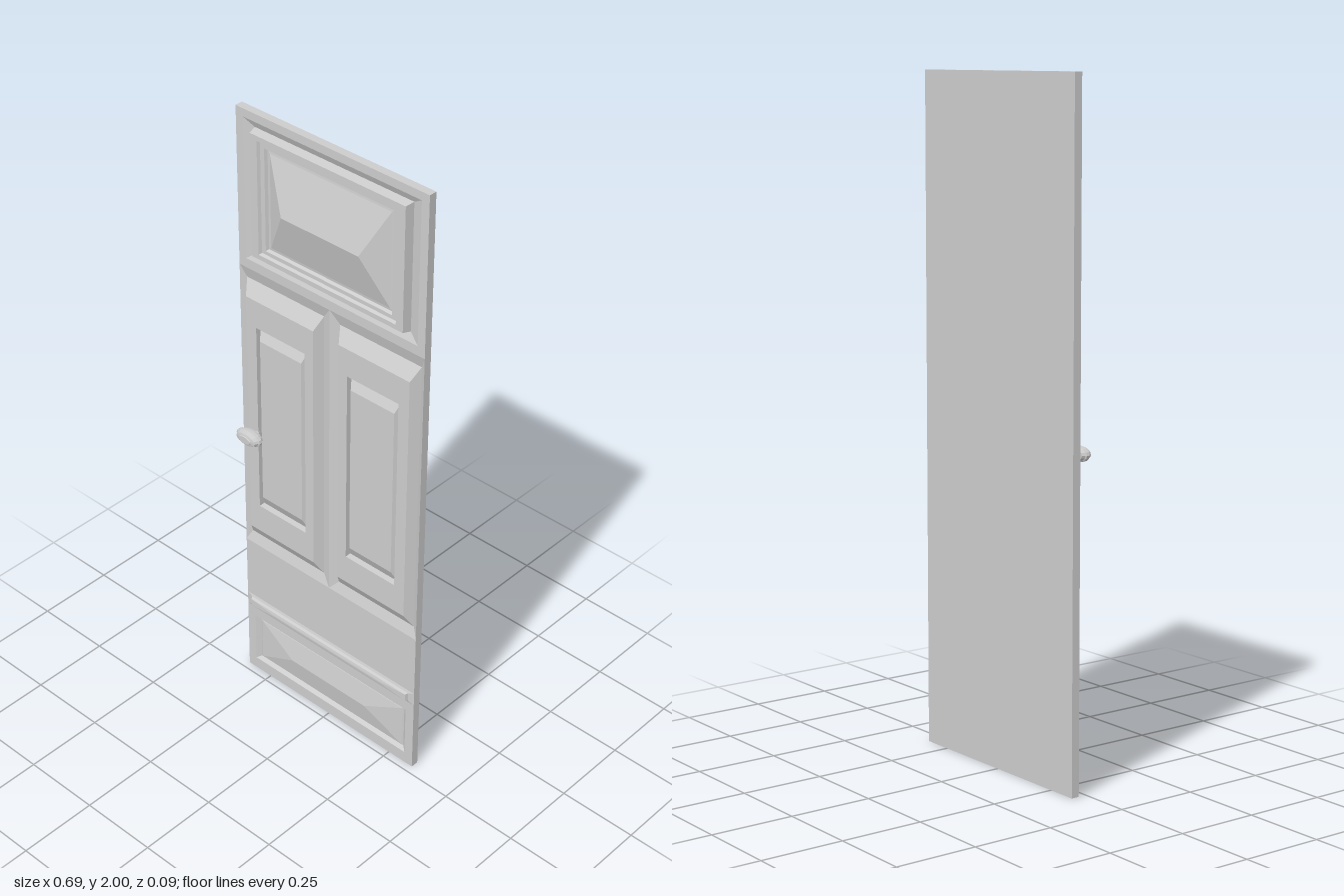
import * as THREE from 'three';

const W = 0.343, FACE = -0.025, BACK = -0.05, CORE = -0.04;

export function createModel() {
  const group = new THREE.Group();
  const material = new THREE.MeshStandardMaterial({ color: 0xcccccc, flatShading: true });

  function add(name, geometry) {
    const mesh = new THREE.Mesh(geometry, material);
    mesh.name = name;
    group.add(mesh);
    return mesh;
  }

  // Joins nested rectangles [x0, x1, y0, y1, z], outermost first, and caps the last one
  function steppedPanel(name, rings) {
    const pos = [];
    const corners = rings.map(([x0, x1, y0, y1, z]) =>
      [[x0, y0, z], [x1, y0, z], [x1, y1, z], [x0, y1, z]]);
    const quad = (a, b, c, d) => pos.push(...a, ...b, ...c, ...a, ...c, ...d);
    for (let i = 0; i < corners.length - 1; i++) {
      const a = corners[i], b = corners[i + 1];
      for (let k = 0; k < 4; k++) {
        const n = (k + 1) % 4;
        quad(a[k], a[n], b[n], b[k]);
      }
    }
    quad(...corners[corners.length - 1]);
    const geometry = new THREE.BufferGeometry();
    geometry.setAttribute('position', new THREE.Float32BufferAttribute(pos, 3));
    geometry.computeVertexNormals();
    return add(name, geometry);
  }

  // Front board with a rectangular opening for a sunk panel
  function board(name, y0, y1, [hx0, hx1, hy0, hy1]) {
    const rect = (x0, x1, b, t) => [[x0, b], [x1, b], [x1, t], [x0, t]].map(p => new THREE.Vector2(...p));
    const shape = new THREE.Shape(rect(-W, W, y0, y1));
    shape.holes.push(new THREE.Path(rect(hx0, hx1, hy0, hy1).reverse()));
    const geometry = new THREE.ExtrudeGeometry(shape, { depth: FACE - CORE, bevelEnabled: false });
    geometry.translate(0, 0, CORE);
    add(name, geometry);
  }

  // Backing slab
  const slab = new THREE.BoxGeometry(2 * W, 2, CORE - BACK);
  slab.translate(0, 1, (CORE + BACK) / 2);
  add('backSlab', slab);

  // Rings centred on x = 0: [halfWidth, bottom, top, z]
  const centred = list => list.map(([h, y0, y1, z]) => [-h, h, y0, y1, z]);

  // Top panel: sunk border, stepped frame and hipped centre
  const top = centred([
    [0.317, 1.53, 1.975, FACE],
    [0.283, 1.555, 1.952, -0.036],
    [0.277, 1.56, 1.947, -0.01],
    [0.252, 1.575, 1.932, -0.01],
    [0.247, 1.58, 1.927, -0.018],
    [0.232, 1.592, 1.913, -0.018],
    [0.227, 1.597, 1.908, -0.026],
    [0.218, 1.605, 1.9, -0.025],
    [0.14, 1.75, 1.75, 0.016],
  ]);
  board('topBoard', 1.5, 2, top[0]);
  steppedPanel('topPanel', top);

  // Bottom panel: sunk, with a low hipped centre
  const bottom = centred([
    [0.312, 0.04, 0.215, FACE],
    [0.297, 0.05, 0.205, -0.037],
    [0.292, 0.053, 0.202, -0.034],
    [0.15, 0.13, 0.13, -0.02],
  ]);
  board('bottomBoard', 0, 0.51, bottom[0]);
  steppedPanel('bottomPanel', bottom);

  // Narrow moulding above the bottom panel
  steppedPanel('moulding', centred([
    [W, 0.252, 0.298, FACE],
    [0.322, 0.26, 0.29, -0.022],
    [0.318, 0.263, 0.287, -0.014],
    [0.225, 0.273, 0.278, -0.012],
  ]));

  // Two tall raised panels, each with a sunk groove around its field
  for (const side of [-1, 1]) {
    const rings = [
      [0, W, 0.51, 1.5, CORE],
      [0, W, 0.51, 1.5, FACE],
      [0.03, 0.325, 0.545, 1.46, -0.036],
      [0.048, 0.306, 0.59, 1.415, -0.01],
      [0.08, 0.268, 0.685, 1.325, -0.01],
      [0.081, 0.267, 0.687, 1.323, -0.028],
      [0.094, 0.254, 0.725, 1.285, -0.01],
    ].map(([a, b, ...rest]) => side > 0 ? [a, b, ...rest] : [-b, -a, ...rest]);
    steppedPanel(side > 0 ? 'leftTallPanel' : 'rightTallPanel', rings);
  }

  // Oval knob: [radius, z]
  const profile = [
    [0.006, -0.014], [0.006, -0.002], [0.014, 0.006], [0.038, 0.007], [0.042, 0.016],
    [0.047, 0.018], [0.047, 0.028], [0.042, 0.03], [0.037, 0.04], [0.024, 0.042],
    [0.022, 0.045], [0, 0.045],
  ].map(p => new THREE.Vector2(...p));
  const knob = new THREE.LatheGeometry(profile, 16);
  knob.rotateX(Math.PI / 2);
  knob.scale(1, 0.5, 1);
  add('knob', knob).position.set(-0.272, 0.957, 0);

  return group;
}
